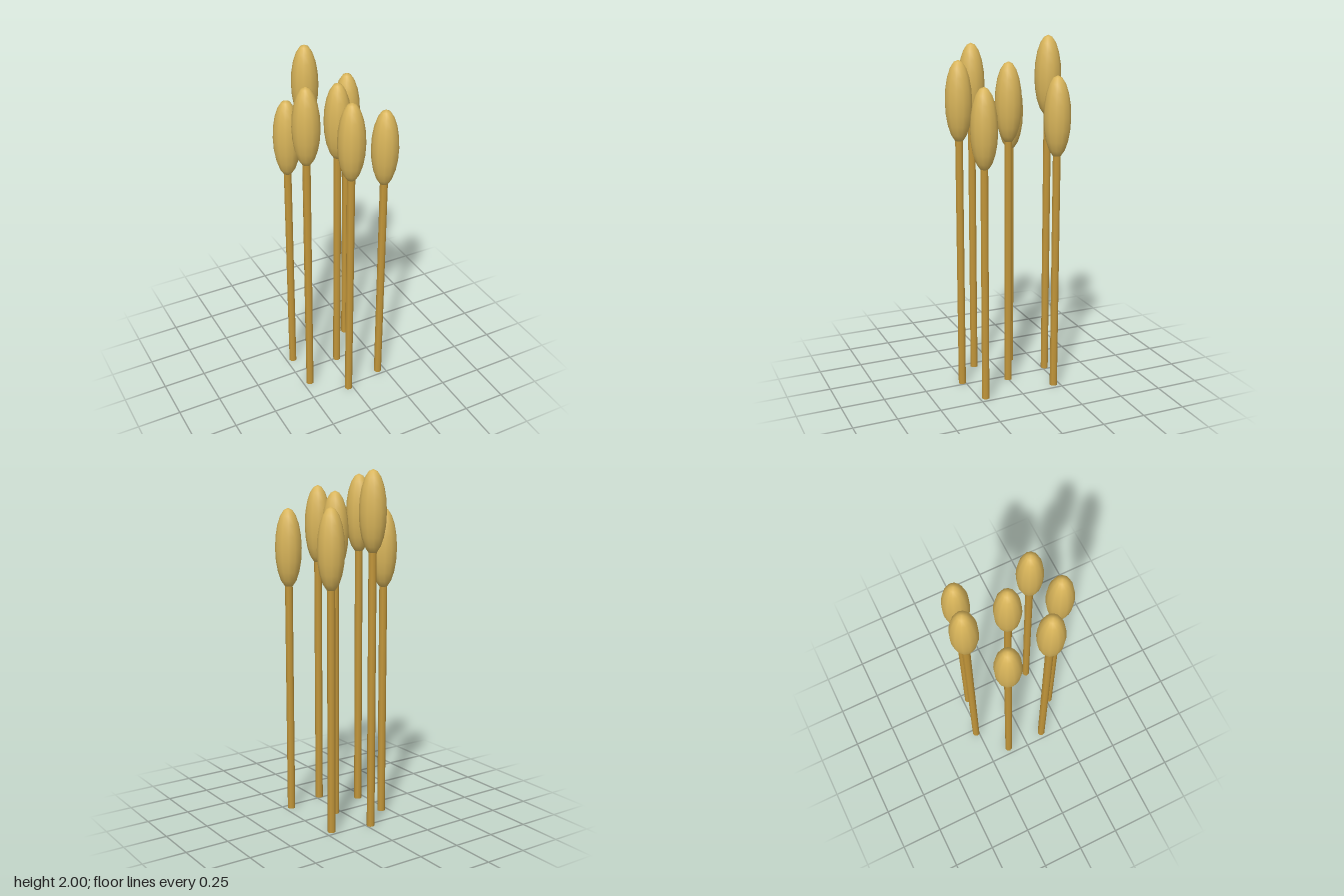
import * as THREE from 'three';

// x, z and tip height of each stalk
const STALKS = [
  [-0.024, -0.267, 2.0],
  [0.208, -0.214, 1.81],
  [-0.209, -0.119, 1.78],
  [0.037, 0, 1.875],
  [-0.209, 0.119, 1.955],
  [-0.024, 0.267, 1.89],
  [0.208, 0.214, 1.775],
];
const HEAD_RADIUS = 0.075;
const HEAD_HALF = 0.225;
const STEM_RADIUS = 0.0225;

export function createModel() {
  const model = new THREE.Group();
  model.name = 'wheatCluster';

  const stemMaterial = new THREE.MeshStandardMaterial({ color: 0xc2963a });
  stemMaterial.name = 'dark straw';
  const headMaterial = new THREE.MeshStandardMaterial({ color: 0xd9b55a });
  headMaterial.name = 'golden grain';

  // Elongated grain head, shared by every stalk
  const headGeometry = new THREE.SphereGeometry(HEAD_RADIUS, 12, 10);
  headGeometry.scale(1, HEAD_HALF / HEAD_RADIUS, 1);

  STALKS.forEach(([x, z, top], i) => {
    const stalk = new THREE.Group();
    stalk.name = `stalk${i + 1}`;
    stalk.position.set(x, 0, z);

    // Straight stem, ending inside the head
    const length = top - HEAD_HALF * 1.6;
    const stem = new THREE.Mesh(
      new THREE.CylinderGeometry(STEM_RADIUS, STEM_RADIUS, length, 8), stemMaterial);
    stem.name = 'stem';
    stem.position.y = length / 2;

    const head = new THREE.Mesh(headGeometry, headMaterial);
    head.name = 'grainHead';
    head.position.y = top - HEAD_HALF;

    stalk.add(stem, head);
    model.add(stalk);
  });
  return model;
}
